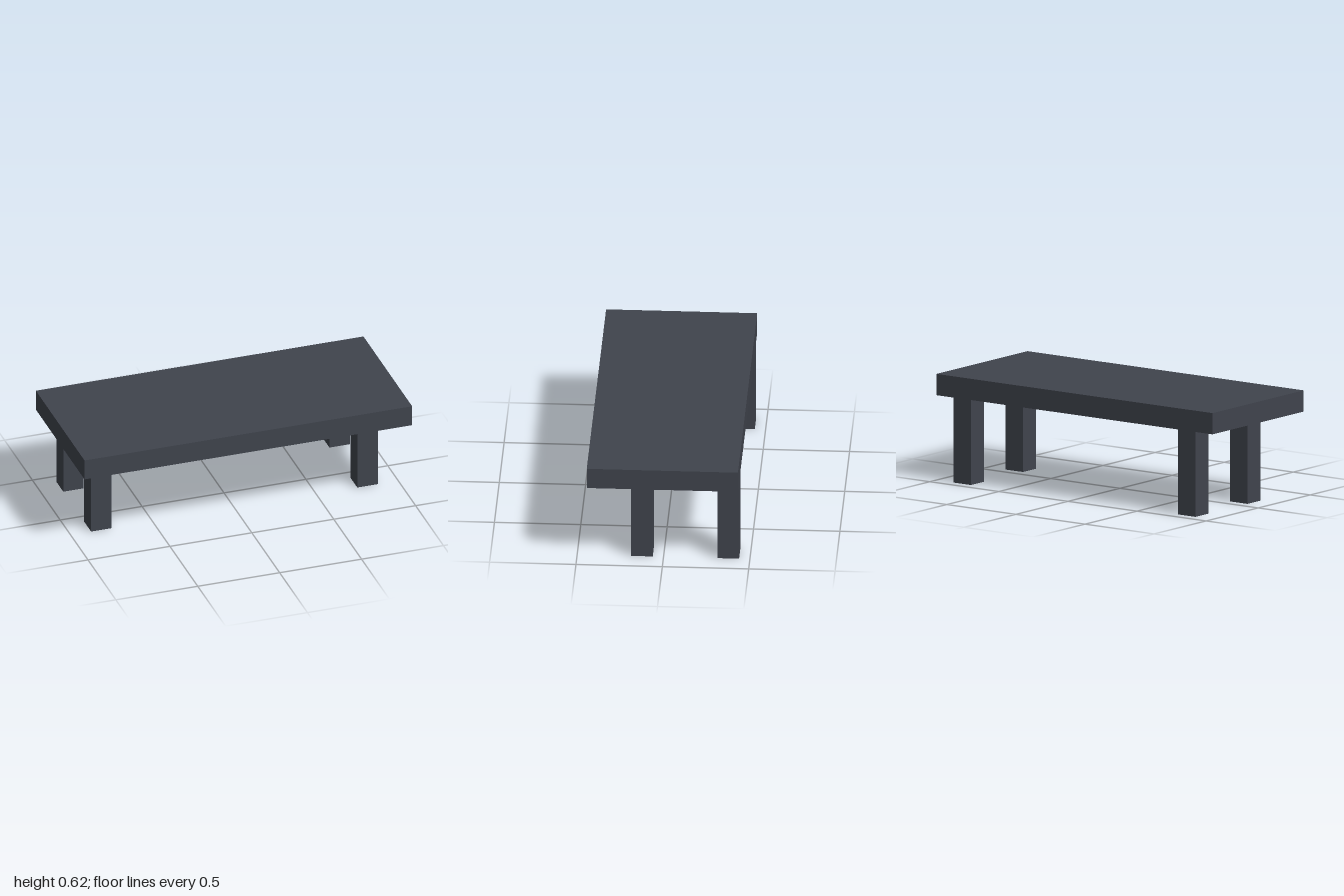
import * as THREE from 'three';

export function createModel() {
  const model = new THREE.Group();
  model.name = 'table';

  const darkSlate = new THREE.MeshStandardMaterial({ color: 0x40444d });
  darkSlate.name = 'darkSlate';

  const addBox = (name, size, position) => {
    const mesh = new THREE.Mesh(new THREE.BoxGeometry(...size), darkSlate);
    mesh.name = name;
    mesh.position.set(...position);
    model.add(mesh);
  };

  // Thick rectangular slab
  addBox('tableTop', [2, 0.125, 0.875], [0, 0.5625, 0]);

  // Square legs: the back pair is flush with the back edge, the front pair is set in
  for (const [side, x] of [['Left', 0.8125], ['Right', -0.8125]]) {
    addBox(`front${side}Leg`, [0.125, 0.5, 0.125], [x, 0.25, 0.125]);
    addBox(`back${side}Leg`, [0.125, 0.5, 0.125], [x, 0.25, -0.375]);
  }

  return model;
}
